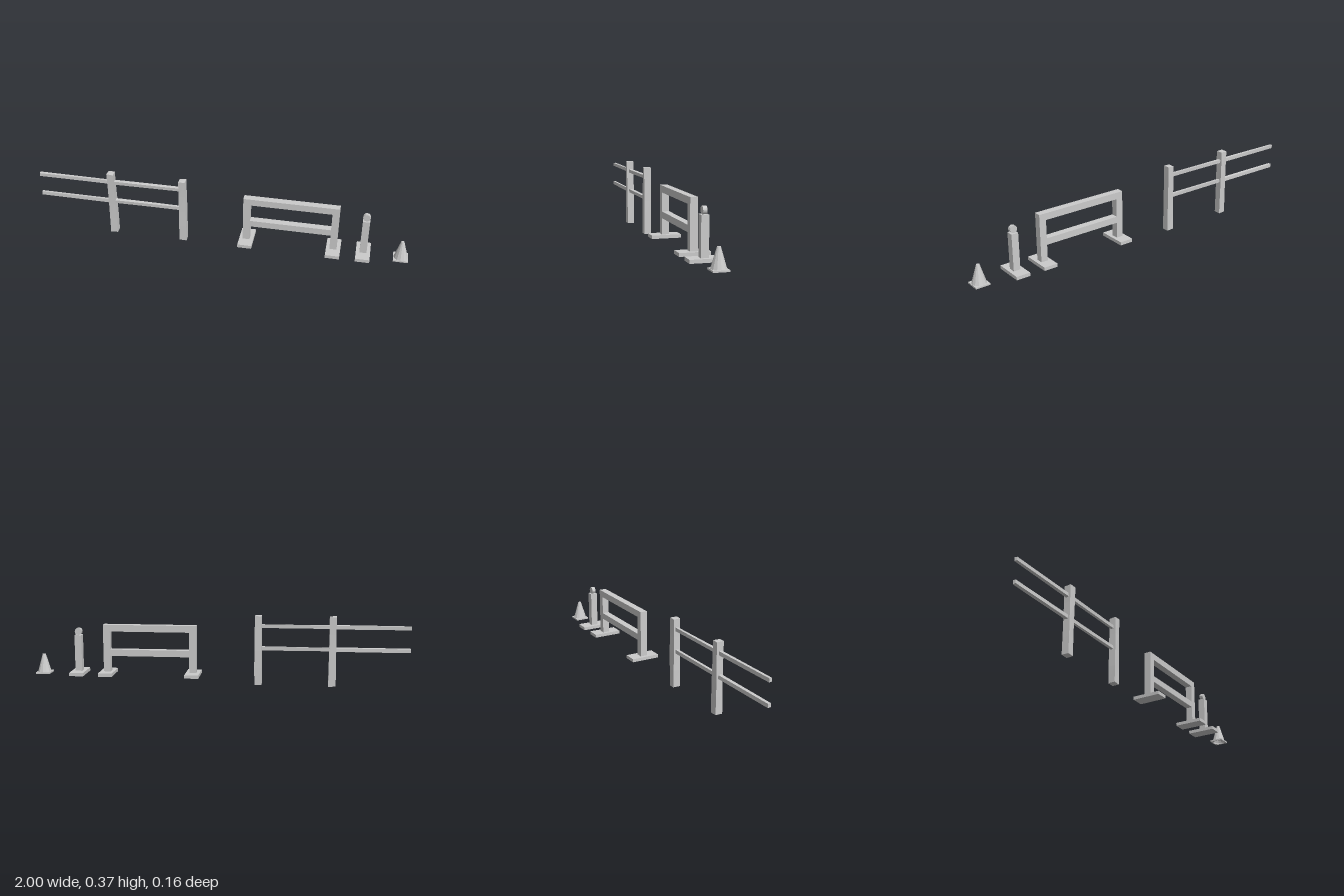
import * as THREE from 'three';

const material = new THREE.MeshStandardMaterial({ color: 0xcccccc, flatShading: true });
const openMaterial = new THREE.MeshStandardMaterial({ color: 0xcccccc, flatShading: true, side: THREE.DoubleSide });

function add(parent, name, geometry, x = 0, y = 0, z = 0, mat = material) {
  const mesh = new THREE.Mesh(geometry, mat);
  mesh.name = name;
  mesh.position.set(x, y, z);
  parent.add(mesh);
  return mesh;
}

// Box given by its limits in x and y, and its depth about z = 0
function block(parent, name, x0, x1, y0, y1, depth) {
  return add(parent, name, new THREE.BoxGeometry(x1 - x0, y1 - y0, depth), (x0 + x1) / 2, (y0 + y1) / 2);
}

function group(parent, name) {
  const g = new THREE.Group();
  g.name = name;
  parent.add(g);
  return g;
}

// Rough-hewn timber: each vertex moves slightly, depending only on its place
function timber(w, h, d, segX, segY, amount, seed) {
  const geo = new THREE.BoxGeometry(w, h, d, segX, segY, 1);
  const p = geo.attributes.position;
  const wobble = (x, y, z, k) => Math.sin(x * 91 + y * 57 + z * 133 + seed * 7.3 + k * 2.1) * amount;
  for (let i = 0; i < p.count; i++) {
    const x = p.getX(i), y = p.getY(i), z = p.getZ(i);
    p.setXYZ(i, x + wobble(x, y, z, 0), y + wobble(x, y, z, 1), z + wobble(x, y, z, 2));
  }
  geo.computeVertexNormals();
  return geo;
}

function buildFence(parent) {
  const fence = group(parent, 'woodenFence');
  [-0.596, -0.205].forEach((x, i) =>
    add(fence, 'fencePost', timber(0.037, 0.37, 0.038, 1, 4, 0.0012, i + 1), x, 0.187));
  // Two rails in each bay
  [[-0.999, -0.6], [-0.6, -0.21]].forEach(([x0, x1], bay) =>
    [0.198, 0.317].forEach((y, row) =>
      add(fence, 'fenceRail', timber(x1 - x0, 0.019, 0.017, 3, 1, 0.0012, bay * 2 + row + 4), (x0 + x1) / 2, y)));
}

function buildBarrier(parent) {
  const barrier = group(parent, 'barrier');
  // One frame outline with the upper opening cut out
  const frame = new THREE.Shape([
    [0.125, 0.06], [0.162, 0.06], [0.162, 0.145], [0.59, 0.145], [0.59, 0.06],
    [0.627, 0.06], [0.627, 0.314], [0.125, 0.314],
  ].map(([x, y]) => new THREE.Vector2(x, y)));
  frame.holes.push(new THREE.Path([
    [0.162, 0.18], [0.162, 0.278], [0.59, 0.278], [0.59, 0.18],
  ].map(([x, y]) => new THREE.Vector2(x, y))));
  add(barrier, 'barrierFrame', new THREE.ExtrudeGeometry(frame, { depth: 0.038, bevelEnabled: false }), 0, 0, -0.019);
  for (const x of [0.144, 0.609]) block(barrier, 'barrierFoot', x - 0.0375, x + 0.0375, 0.042, 0.06, 0.156);
}

function buildBollard(parent) {
  const bollard = group(parent, 'lampBollard');
  block(bollard, 'bollardFoot', 0.728, 0.803, 0.042, 0.06, 0.156);
  block(bollard, 'bollardPost', 0.747, 0.784, 0.06, 0.255, 0.038);
  // Round lamp facing front and back
  const lamp = new THREE.CylinderGeometry(0.0195, 0.0195, 0.02, 12).rotateX(Math.PI / 2);
  add(bollard, 'lamp', lamp, 0.765, 0.274);
}

function buildCone(parent) {
  const cone = group(parent, 'trafficCone');
  cone.position.set(0.961, 0.042, 0);
  // Square plate with a round opening under the hollow cone
  const h = 0.0385;
  const plate = new THREE.Shape([[-h, -h], [h, -h], [h, h], [-h, h]].map(([x, y]) => new THREE.Vector2(x, y)));
  plate.holes.push(new THREE.Path().absarc(0, 0, 0.034, 0, Math.PI * 2, true));
  const plateGeo = new THREE.ExtrudeGeometry(plate, { depth: 0.008, bevelEnabled: false, curveSegments: 12 });
  add(cone, 'conePlate', plateGeo.rotateX(-Math.PI / 2));
  const profile = [[0.037, 0.008], [0.0085, 0.105], [0, 0.105]].map(([r, y]) => new THREE.Vector2(r, y));
  add(cone, 'coneBody', new THREE.LatheGeometry(profile, 12), 0, 0, 0, openMaterial);
}

export function createModel() {
  const model = new THREE.Group();
  model.name = 'roadBarrierSet';
  buildFence(model);
  buildBarrier(model);
  buildBollard(model);
  buildCone(model);
  return model;
}
